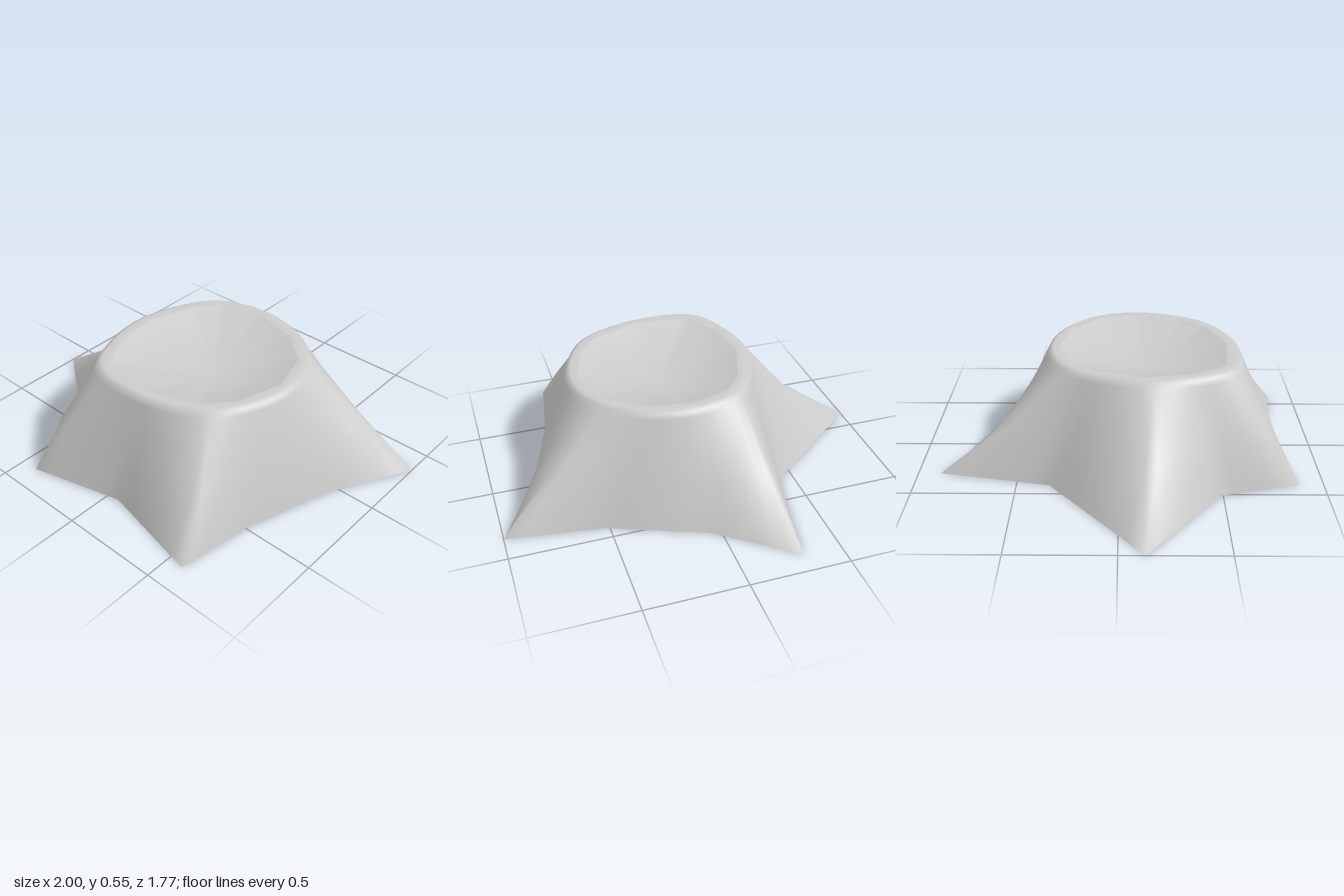
import * as THREE from 'three';

const SEG = 6; // subdivisions between control points
const CENTRE = [0.09, 0.13];

// Control outlines [x, z], counter-clockwise seen from above
const base = [[-1, 0.12], [-0.51, 0.49], [-0.41, 0.88], [0.06, 0.76], [0.58, 0.87], [0.64, 0.49],
  [0.78, 0.05], [1, -0.36], [0.52, -0.43], [0.05, -0.62], [-0.31, -0.89], [-0.42, -0.34]];
const middle = [[-0.65, 0.12], [-0.46, 0.44], [-0.35, 0.74], [0.06, 0.7], [0.49, 0.7], [0.59, 0.45],
  [0.7, 0.07], [0.75, -0.26], [0.44, -0.38], [0.05, -0.51], [-0.25, -0.57], [-0.38, -0.27]];
const rim = [[-0.41, 0.12], [-0.37, 0.38], [-0.25, 0.58], [0.08, 0.615], [0.37, 0.51], [0.49, 0.37],
  [0.57, 0.1], [0.5, -0.15], [0.31, -0.31], [0.05, -0.37], [-0.19, -0.31], [-0.31, -0.18]];

const scaled = (ring, s) => ring.map(p => p.map((v, i) => CENTRE[i] + (v - CENTRE[i]) * s));

// Sample an outline at height y, either with straight sides or as a smooth curve
function sample(ring, y, smooth) {
  const pts = ring.map(([x, z]) => new THREE.Vector3(x, y, z));
  const n = pts.length;
  const curve = new THREE.CatmullRomCurve3(pts, true, 'centripetal');
  return Array.from({ length: n * SEG }, (_, i) => {
    const k = Math.floor(i / SEG);
    return smooth ? curve.getPoint(i / (n * SEG))
      : pts[k].clone().lerp(pts[(k + 1) % n], (i % SEG) / SEG);
  });
}

function build(name, points, index, material) {
  const geometry = new THREE.BufferGeometry().setFromPoints(points);
  geometry.setIndex(index);
  geometry.computeVertexNormals();
  const mesh = new THREE.Mesh(geometry, material);
  mesh.name = name;
  return mesh;
}

// Join successive outlines with a smooth skin
function loft(name, rings, material) {
  const n = rings[0].length, index = [];
  for (let r = 0; r < rings.length - 1; r++) {
    for (let i = 0; i < n; i++) {
      const j = (i + 1) % n;
      const a = r * n + i, b = r * n + j, c = a + n, d = b + n;
      index.push(a, b, d, a, d, c);
    }
  }
  return build(name, rings.flat(), index, material);
}

// Close an outline with triangles meeting at one point
function fan(name, ring, y, up, material) {
  const n = ring.length, index = [];
  for (let i = 0; i < n; i++) {
    const j = (i + 1) % n;
    index.push(...(up ? [i, j, n] : [j, i, n]));
  }
  return build(name, [...ring, new THREE.Vector3(CENTRE[0], y, CENTRE[1])], index, material);
}

export function createModel() {
  const group = new THREE.Group();
  group.name = 'stump';
  const material = new THREE.MeshStandardMaterial({ color: 0xcccccc });

  const foot = sample(base, 0, false);
  const inner = sample(scaled(rim, 0.86), 0.543, false);

  // Flared root walls, rounding over into the rim
  group.add(loft('rootWall', [
    foot,
    sample(middle, 0.24, true),
    sample(rim, 0.51, true),
    sample(scaled(rim, 0.975), 0.535, true),
    sample(scaled(rim, 0.93), 0.547, true),
    inner,
  ], material));

  // Shallow conical hollow in the top
  group.add(fan('topHollow', inner, 0.4, true, material));

  // Flat underside
  group.add(fan('underside', foot, 0, false, material));
  return group;
}
